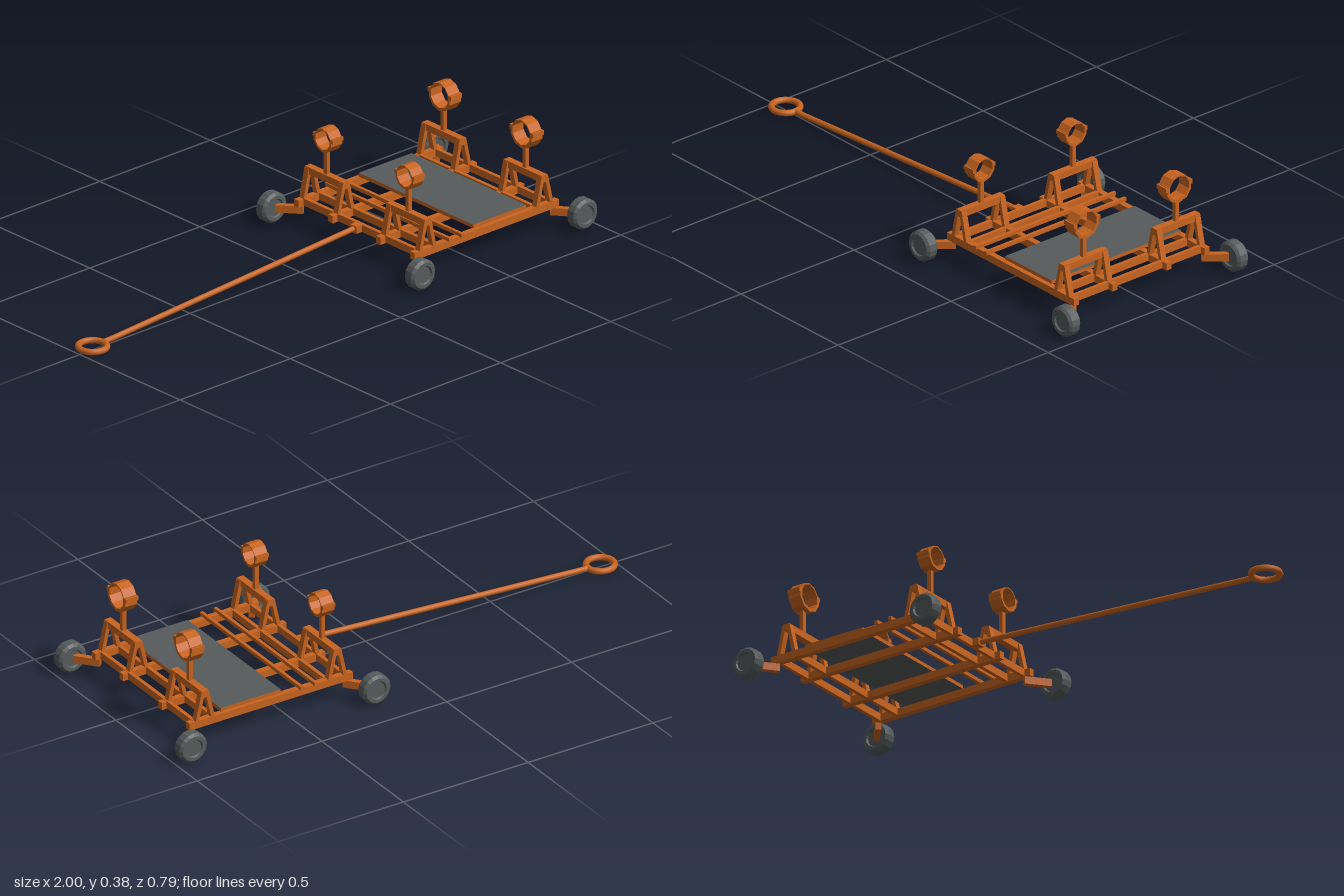
import * as THREE from 'three';

const paint = new THREE.MeshStandardMaterial({ color: 0xc8641f });
paint.name = 'orangePaint';
const grey = new THREE.MeshStandardMaterial({ color: 0x565b5c });
grey.name = 'darkGrey';

function add(parent, name, geometry, material = paint) {
  const mesh = new THREE.Mesh(geometry, material);
  mesh.name = name;
  parent.add(mesh);
  return mesh;
}

function box(parent, name, size, pos, material = paint) {
  const mesh = add(parent, name, new THREE.BoxGeometry(...size), material);
  mesh.position.set(...pos);
  return mesh;
}

// Square bar between two points; w is its width, d its depth
function bar(parent, name, from, to, w, d) {
  const a = new THREE.Vector3(...from), b = new THREE.Vector3(...to);
  const mesh = box(parent, name, [w, d, a.distanceTo(b)], [0, 0, 0]);
  mesh.position.copy(a).add(b).multiplyScalar(0.5);
  mesh.lookAt(b);
  return mesh;
}

// Ten-sided arc band, swept between two angles in degrees
function band(inner, outer, start, steps, width) {
  const at = (r, i) => {
    const t = THREE.MathUtils.degToRad(start + 36 * i);
    return new THREE.Vector2(r * Math.cos(t), r * Math.sin(t));
  };
  const pts = [];
  for (let i = 0; i <= steps; i++) pts.push(at(outer, i));
  for (let i = steps; i >= 0; i--) pts.push(at(inner, i));
  const g = new THREE.ExtrudeGeometry(new THREE.Shape(pts), { depth: width, bevelEnabled: false });
  g.translate(0, 0, -width / 2);
  g.rotateY(Math.PI / 2);
  return g;
}

// Trestle with a post and a ring clamp on top
function makeStand(x, side, scale) {
  const stand = new THREE.Group();
  stand.name = 'clampStand';
  for (const z of [0.119, 0.289]) {
    for (const dx of [-1, 1]) {
      bar(stand, 'trestleLeg', [x + dx * 0.034, 0.085, side * z], [x + dx * 0.008, 0.2, side * z], 0.022, 0.014);
    }
  }
  box(stand, 'trestleTop', [0.026, 0.025, 0.192], [x, 0.192, side * 0.204]);
  box(stand, 'post', [0.015, 0.09, 0.016], [x, 0.245, side * 0.204]);

  const clamp = new THREE.Group();
  clamp.name = 'ringClamp';
  add(clamp, 'hoop', band(0.044, 0.049, 18, 4, 0.05));
  add(clamp, 'cradle', band(0.044, 0.055, 162, 6, 0.05));
  for (const s of [-1, 1]) box(clamp, 'clampTab', [0.05, 0.016, 0.009], [0, 0.007, s * 0.054]);
  clamp.scale.set(1, scale, scale);
  clamp.position.set(x, 0.337, side * 0.204 + 0.005);
  stand.add(clamp);
  return stand;
}

// Chunky tyre with a recessed hub face
function makeWheel(x, side) {
  const half = [[0, 0.018], [0.03, 0.018], [0.034, 0.024], [0.046, 0.024], [0.055, 0.015]];
  const profile = [
    ...half.map(([r, y]) => new THREE.Vector2(r, -y)),
    ...half.slice().reverse().map(([r, y]) => new THREE.Vector2(r, y)),
  ];
  const g = new THREE.LatheGeometry(profile, 16).toNonIndexed();
  g.computeVertexNormals();
  g.rotateX(Math.PI / 2);
  const wheel = new THREE.Group();
  wheel.name = 'wheelAssembly';
  add(wheel, 'wheel', g, grey).position.set(x, 0.058, side * 0.371);
  return wheel;
}

export function createModel() {
  const model = new THREE.Group();
  model.name = 'towedCart';

  // Frame: long rails, cross beams and thin rods
  const frame = new THREE.Group();
  frame.name = 'frame';
  model.add(frame);
  for (const z of [-0.289, -0.119, 0.119, 0.289]) {
    box(frame, 'longRail', [0.655, 0.027, 0.022], [0.573, 0.084, z]);
  }
  for (const x of [0.275, 0.345, 0.802, 0.874]) {
    box(frame, 'crossBeam', [0.014, 0.026, 0.58], [x, 0.086, 0]);
  }
  for (const x of [0.4, 0.455]) {
    box(frame, 'crossRod', [0.012, 0.013, 0.62], [x, 0.103, 0]);
  }

  // Deck plate: grey faces with painted edges
  box(model, 'deckPlate', [0.24, 0.013, 0.572], [0.647, 0.105, -0.002],
    [paint, paint, grey, grey, paint, paint]);

  // Ring clamps, the pair near the tow bar being smaller
  for (const side of [-1, 1]) {
    model.add(makeStand(0.307, side, 0.84), makeStand(0.837, side, 1));
  }

  // Wheels on diagonal arms
  for (const side of [-1, 1]) {
    for (const [x, inner] of [[0.206, 0.272], [0.942, 0.878]]) {
      const wheel = makeWheel(x, side);
      bar(wheel, 'wheelArm', [inner, 0.057, side * 0.282], [x + (inner - x) * 0.08, 0.057, side * 0.354], 0.02, 0.027);
      model.add(wheel);
    }
  }

  // Tow bar with a flat eye at its end
  const tow = new THREE.Group();
  tow.name = 'towBar';
  model.add(tow);
  const rod = (name, from, to) => {
    const a = new THREE.Vector3(...from), b = new THREE.Vector3(...to);
    const mesh = add(tow, name, new THREE.CylinderGeometry(0.01, 0.01, a.distanceTo(b), 8));
    mesh.position.copy(a).add(b).multiplyScalar(0.5);
    mesh.quaternion.setFromUnitVectors(new THREE.Vector3(0, 1, 0), b.sub(a).normalize());
  };
  rod('towRod', [-0.84, 0.016, -0.003], [0.265, 0.088, -0.003]);
  rod('towRodTip', [-0.895, 0.014, -0.003], [-0.835, 0.016, -0.003]);
  box(tow, 'towBracket', [0.03, 0.026, 0.032], [0.258, 0.086, -0.003]);
  const eye = add(tow, 'towEye', new THREE.TorusGeometry(0.049, 0.0115, 8, 20));
  eye.rotation.x = Math.PI / 2;
  eye.position.set(-0.939, 0.0135, -0.003);

  return model;
}
